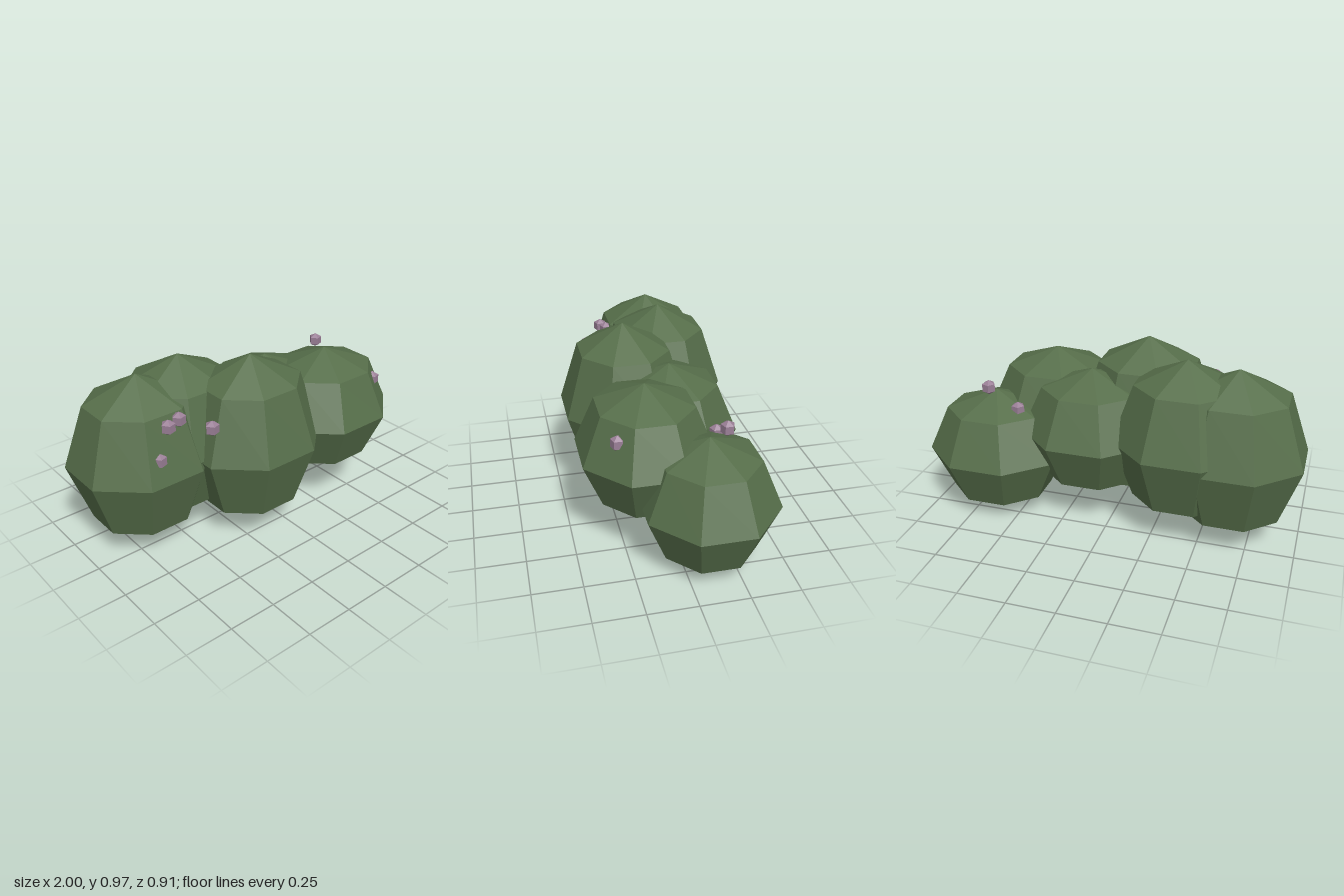
import * as THREE from 'three';

export function createModel() {
  const model = new THREE.Group();
  model.name = 'hedge';

  const leafGreen = new THREE.MeshStandardMaterial({ color: 0x566e4a });
  leafGreen.name = 'leaf green';
  const blossomMauve = new THREE.MeshStandardMaterial({ color: 0x9a7f96 });
  blossomMauve.name = 'blossom mauve';
  leafGreen.flatShading = blossomMauve.flatShading = true;

  // Eight-sided clump with flat sides facing the axes
  const clumpGeometry = new THREE.SphereGeometry(1, 8, 4).rotateY(Math.PI / 8);
  const blossomGeometry = new THREE.SphereGeometry(0.04, 5, 3);

  // Leafy clumps: x, y, z of the centre and half height
  const clumps = [
    [-0.645, 0.48, -0.105, 0.45],
    [-0.39, 0.52, -0.12, 0.437],
    [-0.13, 0.508, 0.13, 0.46],
    [0.125, 0.487, -0.06, 0.343],
    [0.385, 0.517, 0.125, 0.343],
    [0.645, 0.34, -0.13, 0.34],
  ];
  clumps.forEach(([x, y, z, halfHeight], i) => {
    const clump = new THREE.Mesh(clumpGeometry, leafGreen);
    clump.name = `leafClump${i + 1}`;
    clump.position.set(x, y, z);
    clump.scale.set(0.385, halfHeight, 0.353);
    model.add(clump);
  });

  // Small blossoms scattered over the leaves
  const blossoms = [
    [-0.71, 0.6, 0.17],
    [-0.65, 0.757, 0.167],
    [-0.575, 0.764, 0.145],
    [-0.47, 0.73, 0.265],
    [0.595, 0.675, 0.295],
    [0.65, 0.72, -0.212],
    [0.49, 0.615, -0.21],
  ];
  blossoms.forEach(([x, y, z], i) => {
    const blossom = new THREE.Mesh(blossomGeometry, blossomMauve);
    blossom.name = `blossom${i + 1}`;
    blossom.position.set(x, y, z);
    model.add(blossom);
  });

  return model;
}
